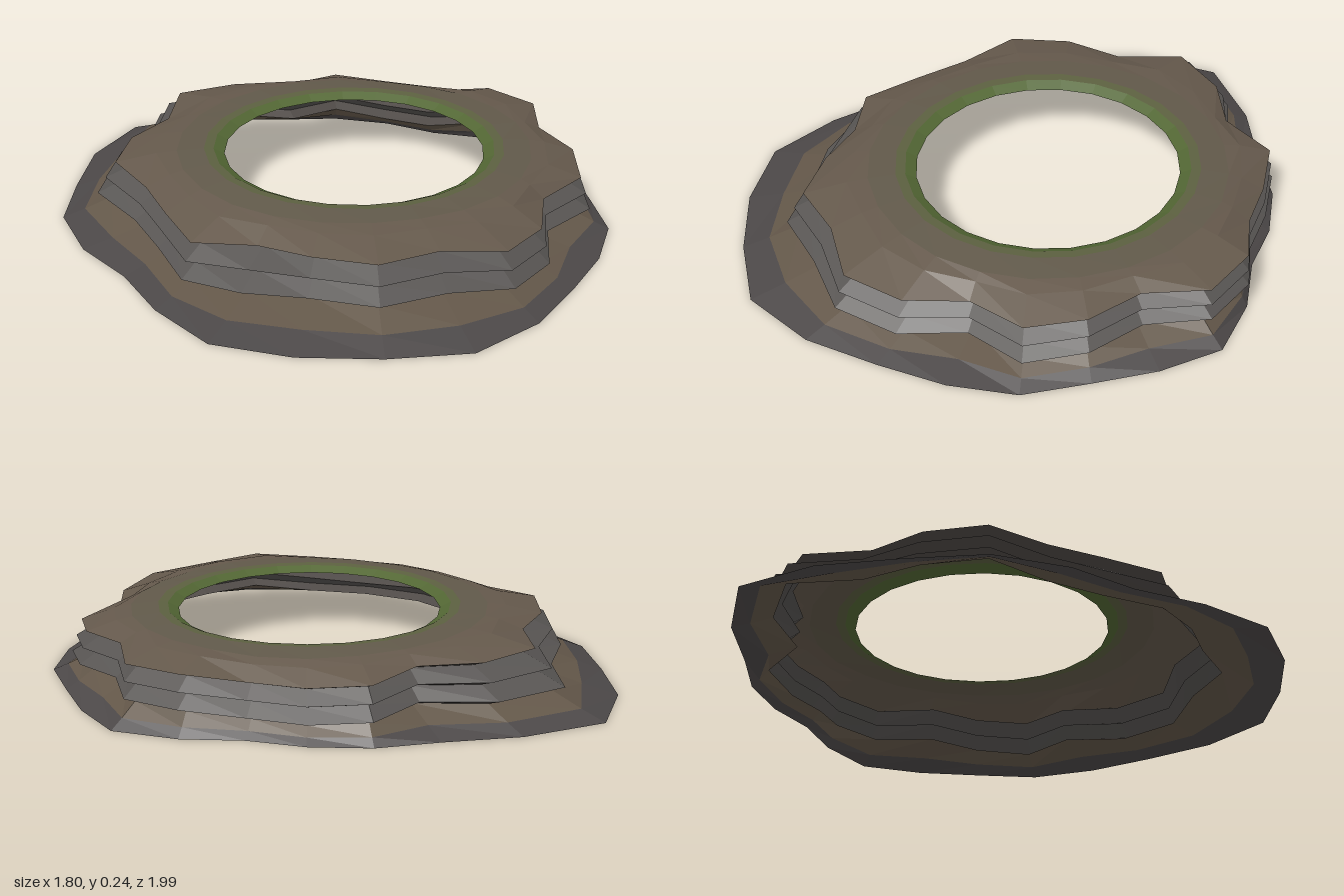
import * as THREE from 'three';

const SIDES = 24;
const CENTER = { x: 0.085, z: 0.06 };

// Radii and height ripple per direction, starting at the back and turning towards +x
const BASE = [1.058, 0.922, 0.806, 0.774, 0.737, 0.706, 0.772, 0.843, 0.82, 0.812, 0.856, 0.866,
  0.889, 0.964, 1.031, 1.01, 1.015, 1.02, 0.942, 0.882, 0.932, 0.976, 0.976, 1.028];
const LOW_LEDGE = [0.92, 0.825, 0.68, 0.765, 0.72, 0.695, 0.772, 0.79, 0.7, 0.765, 0.79, 0.69,
  0.795, 0.85, 0.815, 0.86, 0.795, 0.81, 0.825, 0.757, 0.757, 0.857, 0.837, 0.81];
const HIGH_LEDGE = [0.815, 0.76, 0.665, 0.75, 0.705, 0.685, 0.762, 0.78, 0.68, 0.74, 0.755, 0.67,
  0.76, 0.81, 0.75, 0.8, 0.74, 0.7, 0.78, 0.725, 0.715, 0.793, 0.77, 0.714];
const RIPPLE = [0.015, 0.01, 0.012, 0, -0.015, -0.01, 0.015, 0.012, 0.012, 0.005, -0.01, -0.015,
  -0.02, -0.01, 0.01, 0.01, 0, -0.01, -0.02, -0.01, 0, 0.01, 0.01, 0.01];

const mix = THREE.MathUtils.lerp;

// A closed ring of points from radius and height rules
function ring(radius, height) {
  return Array.from({ length: SIDES }, (_, k) => {
    const a = (k / SIDES) * Math.PI * 2;
    const r = radius(k);
    return new THREE.Vector3(CENTER.x + Math.sin(a) * r, height(k), CENTER.z - Math.cos(a) * r);
  });
}

// Faceted skin through consecutive rings, listed from outside to inside
function band(name, color, ...rings) {
  const points = [];
  for (let i = 0; i < rings.length - 1; i++) {
    const lower = rings[i], upper = rings[i + 1];
    for (let k = 0; k < SIDES; k++) {
      const n = (k + 1) % SIDES;
      points.push(lower[k], upper[k], upper[n], lower[k], upper[n], lower[n]);
    }
  }
  const geometry = new THREE.BufferGeometry().setFromPoints(points);
  geometry.computeVertexNormals();
  const mesh = new THREE.Mesh(geometry, new THREE.MeshStandardMaterial({
    color, flatShading: true, side: THREE.DoubleSide,
  }));
  mesh.name = name;
  return mesh;
}

export function createModel() {
  const group = new THREE.Group();
  group.name = 'rockRing';

  // Three overhanging ledges, each with a recessed root just under its lip
  const ledges = [0, 0.45, 1].map((t, i) => {
    const radius = (k) => mix(LOW_LEDGE[k], HIGH_LEDGE[k], t);
    const height = (k) => 0.077 + i * 0.055 + RIPPLE[k];
    return {
      root: ring((k) => radius(k) - 0.045, (k) => height(k) - 0.016),
      lip: ring(radius, height),
    };
  });

  // Sloping foot
  const foot = ring((k) => BASE[k], () => 0);
  const footTop = ring((k) => mix(BASE[k], LOW_LEDGE[k] - 0.045, 0.45), (k) => 0.026 + RIPPLE[k] * 0.4);
  group.add(band('foot', 0x4c4848, foot, footTop));
  group.add(band('earthSlope', 0x635749, footTop, ledges[0].root));

  // Rock strata
  ledges.forEach(({ root, lip }, i) => {
    group.add(band('ledgeUnderside', 0x4f4a47, root, lip));
    if (i < 2) group.add(band('ledgeFace', 0x585553, lip, ledges[i + 1].root));
  });

  // Earth plateau, mossy border and grassy rim around the opening
  const plateau = ring((k) => mix(0.6, HIGH_LEDGE[k], 0.3), (k) => 0.22 + RIPPLE[k] * 0.5);
  const border = ring(() => 0.59, (k) => 0.23 + RIPPLE[k] * 0.2);
  const grass = ring(() => 0.5, () => 0.237);
  const crest = ring(() => 0.468, () => 0.235);
  const opening = ring(() => 0.432, () => 0.217);
  group.add(band('plateau', 0x65594c, ledges[2].lip, plateau, border));
  group.add(band('mossyBorder', 0x61594a, border, grass));
  group.add(band('grassBorder', 0x5c6040, grass, crest));
  group.add(band('grassRim', 0x536734, crest, opening));

  return group;
}
